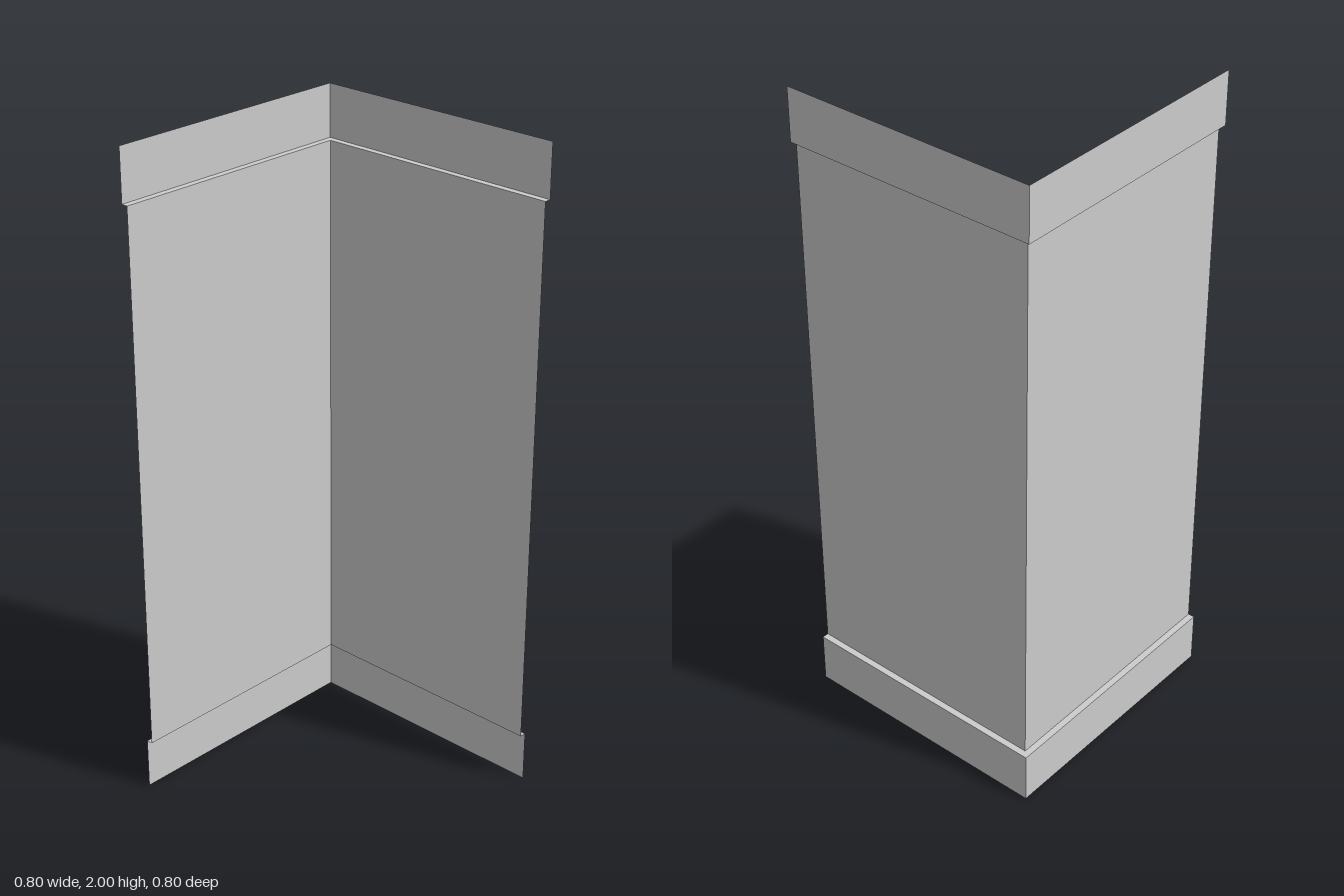
import * as THREE from 'three';

const OUT = 0.4;    // plane of the bands
const IN = 0.38;    // plane of the recessed panel
const BAND = 0.16;  // band height
const TOP = 2;

// Open sheet following the corner: rings are [inset plane, height] pairs.
function cornerSheet(name, material, rings) {
  const positions = [], indices = [];
  for (let i = 0; i < rings.length - 1; i++) {
    const [a, ya] = rings[i], [b, yb] = rings[i + 1];
    const path = d => [[-OUT, -d], [d, -d], [d, OUT]]; // back wall, then left wall
    const pa = path(a), pb = path(b);
    for (let s = 0; s < 2; s++) {
      const k = positions.length / 3;
      positions.push(
        pa[s][0], ya, pa[s][1], pa[s + 1][0], ya, pa[s + 1][1],
        pb[s + 1][0], yb, pb[s + 1][1], pb[s][0], yb, pb[s][1]);
      indices.push(k, k + 2, k + 1, k, k + 3, k + 2);
    }
  }
  const geometry = new THREE.BufferGeometry();
  geometry.setAttribute('position', new THREE.Float32BufferAttribute(positions, 3));
  geometry.setIndex(indices);
  geometry.computeVertexNormals();
  const mesh = new THREE.Mesh(geometry, material);
  mesh.name = name;
  return mesh;
}

export function createModel() {
  const grey = new THREE.MeshStandardMaterial({ color: 0xcccccc, side: THREE.DoubleSide });
  grey.name = 'light grey';

  const model = new THREE.Group();
  model.name = 'cornerWall';
  // Each band carries the narrow ledge that joins it to the panel.
  model.add(
    cornerSheet('baseBand', grey, [[OUT, 0], [OUT, BAND], [IN, BAND]]),
    cornerSheet('wallPanel', grey, [[IN, BAND], [IN, TOP - BAND]]),
    cornerSheet('topBand', grey, [[IN, TOP - BAND], [OUT, TOP - BAND], [OUT, TOP]]));
  return model;
}
